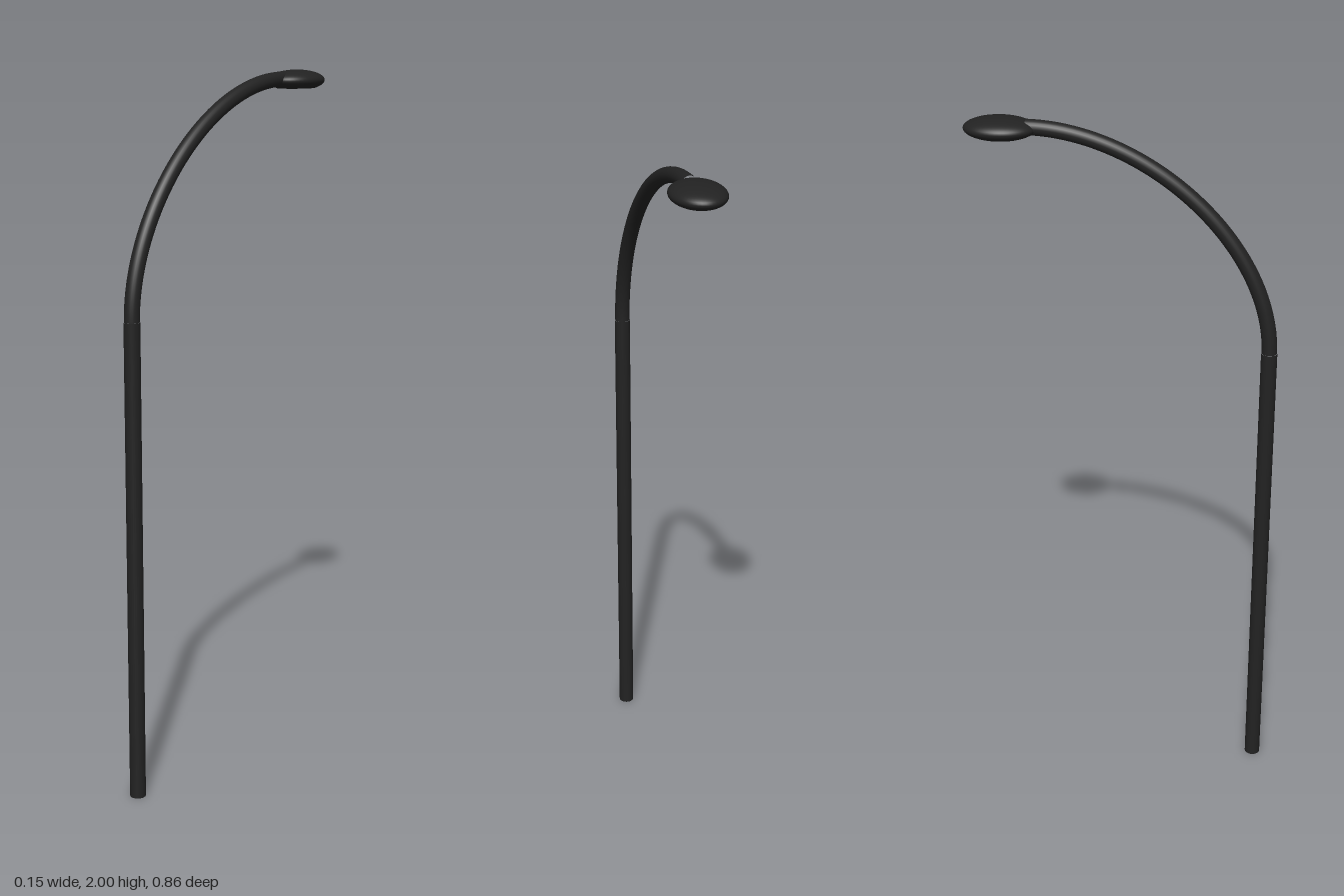
import * as THREE from 'three';

const black = new THREE.MeshStandardMaterial({ color: 0x222222 });
const lensGrey = new THREE.MeshStandardMaterial({ color: 0x999999 });

export function createModel() {
  const group = new THREE.Group();
  const add = (name, geometry, material = black) => {
    const mesh = new THREE.Mesh(geometry, material);
    mesh.name = name;
    group.add(mesh);
    return mesh;
  };

  const radius = 0.0225, poleZ = 0.405, bendY = 1.36, armY = 1.975, armZ = -0.26;

  // Straight pole, and the closing disc under it
  const pole = add('pole', new THREE.CylinderGeometry(radius, radius, bendY, 24, 1, true));
  pole.position.set(0, bendY / 2, poleZ);
  const base = add('poleBase', new THREE.CircleGeometry(radius, 24).rotateX(Math.PI / 2));
  base.position.z = poleZ;

  // Arm curving up and back, ending inside the lamp head
  const arc = new THREE.CubicBezierCurve3(
    new THREE.Vector3(0, bendY, poleZ),
    new THREE.Vector3(0, bendY + (armY - bendY) * 0.5, poleZ),
    new THREE.Vector3(0, armY, armZ + (poleZ - armZ) * 0.5),
    new THREE.Vector3(0, armY, armZ)
  );
  add('arm', new THREE.TubeGeometry(arc, 48, radius * 0.95, 24, false));

  // Lamp head: domed oval shell with a flat rim below
  const headPosition = [0, 1.97, -0.33];
  const profile = [];
  for (let i = 0; i <= 20; i++) {
    const a = -Math.PI * 0.27 + (i / 20) * Math.PI * 0.77;
    profile.push(new THREE.Vector2(Math.max(0, Math.cos(a)), Math.sin(a) * 0.03));
  }
  const rim = profile[0];
  const head = add('lampHead', new THREE.LatheGeometry(profile, 48));
  head.scale.set(0.074, 1, 0.098);
  head.position.set(...headPosition);

  // Flat underside ring and the light panel inside it
  const lensRadius = rim.x * 0.9;
  const under = add('lampRim', new THREE.RingGeometry(lensRadius, rim.x, 48).rotateX(Math.PI / 2));
  const lens = add('lens', new THREE.CircleGeometry(lensRadius, 48).rotateX(Math.PI / 2), lensGrey);
  for (const part of [under, lens]) {
    part.scale.set(0.074, 1, 0.098);
    part.position.set(headPosition[0], headPosition[1] + rim.y, headPosition[2]);
  }
  return group;
}
